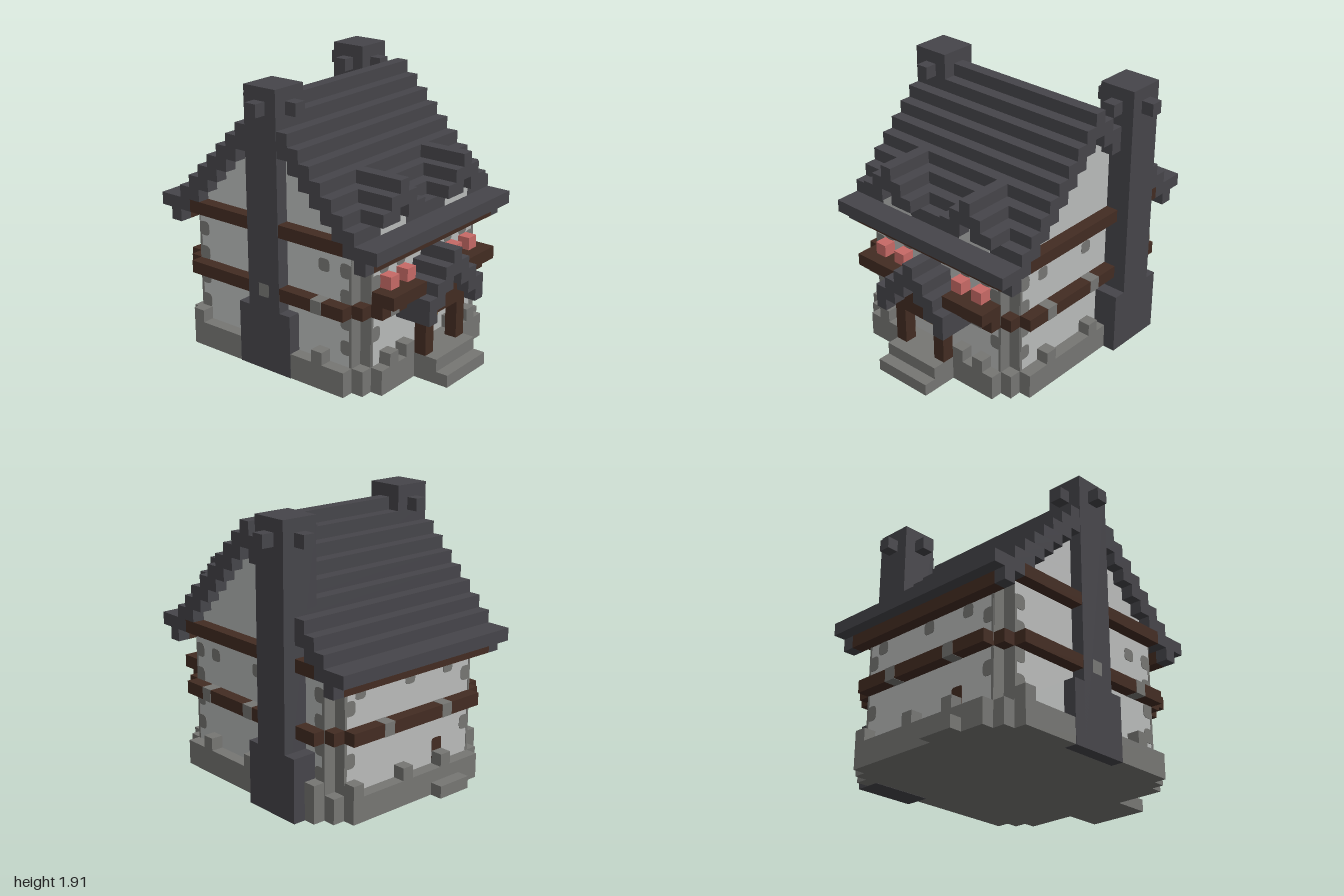
import * as THREE from 'three';

const U = 2 / 23; // one block
const mat = (name, color) => {
  const m = new THREE.MeshStandardMaterial({ color });
  m.name = name;
  return m;
};

export function createModel() {
  const slate = mat('slate', 0x46454a), plaster = mat('plaster', 0xb9bbba), stone = mat('stone', 0x767673);
  const timber = mat('timber', 0x432c22), petal = mat('petal', 0xc76a66), brass = mat('brass', 0xb38a45);

  const house = new THREE.Group();
  house.name = 'house';

  // Box from block coordinates: x -10..10, y 0..22, z 0 (back)..23 (front)
  const box = (name, m, x0, x1, y0, y1, z0, z1) => {
    const mesh = new THREE.Mesh(new THREE.BoxGeometry((x1 - x0) * U, (y1 - y0) * U, (z1 - z0) * U), m);
    mesh.position.set((x0 + x1) / 2 * U, (y0 + y1) / 2 * U, ((z0 + z1) / 2 - 11.5) * U);
    mesh.name = name;
    house.add(mesh);
  };
  // Same box mirrored across the house's middle, x = -0.5
  const pair = (name, m, x0, x1, ...rest) => {
    box(name, m, x0, x1, ...rest);
    box(name, m, -1 - x1, -1 - x0, ...rest);
  };

  // Thin rounded plate on one wall; u runs along the wall
  const plate = (name, m, side, u, y, w = 1, h = 1, r = 0.32) => {
    const s = new THREE.Shape(), a = w / 2, b = h / 2;
    s.moveTo(-a + r, -b);
    s.lineTo(a - r, -b); s.quadraticCurveTo(a, -b, a, -b + r);
    s.lineTo(a, b - r); s.quadraticCurveTo(a, b, a - r, b);
    s.lineTo(-a + r, b); s.quadraticCurveTo(-a, b, -a, b - r);
    s.lineTo(-a, -b + r); s.quadraticCurveTo(-a, -b, -a + r, -b);
    const g = new THREE.ExtrudeGeometry(s, { depth: 0.09, bevelEnabled: false, curveSegments: 4 });
    const mesh = new THREE.Mesh(g.translate(0, 0, -0.05).scale(U, U, U), m);
    const [x, z, turn] = {
      front: [u, 19, 0], back: [u, 2, Math.PI], right: [7, u, Math.PI / 2], left: [-8, u, -Math.PI / 2],
    }[side];
    mesh.position.set(x * U, y * U, (z - 11.5) * U);
    mesh.rotation.y = turn;
    mesh.name = name;
    house.add(mesh);
  };

  // Footprint with stepped corners, grown outward by g blocks
  const stepped = (name, m, g, y0, y1) => {
    box(name, m, -8 - g, 7 + g, y0, y1, 3, 18);
    box(name, m, -7, 6, y0, y1, 2 - g, 19 + g);
    if (g) box(name, m, -8, 7, y0, y1, 2, 19);
  };
  stepped('foundation', stone, 1, 0.02, 2);
  stepped('wall', plaster, 0, 2, 11);
  stepped('middleBeam', timber, 1, 6, 7);

  // Stone corner posts and quoins
  for (const [z0, z1, zc] of [[18, 19, 18], [2, 3, 3]]) {
    pair('cornerStone', stone, 5.96, 6.03, 2, 11, z0, z1);
    pair('cornerStone', stone, 6, 7, 2, 11, zc - 0.04, zc + 0.04);
  }
  for (const side of ['front', 'back', 'left', 'right']) {
    const along = side === 'front' || side === 'back';
    const ends = along ? [[-7, 1], [6, -1]] : [[3, 1], [18, -1]];
    const rows = along ? [4, 8] : [3, 5, 7, 9];
    for (const [edge, dir] of ends) {
      plate('quoinEdge', stone, side, edge + dir * 0.1, 6, 0.2, 8, 0.02);
      for (const r of rows) plate('quoin', stone, side, edge + dir * 0.5, r + 0.5, 1, 1.15, 0.4);
    }
  }

  // Gable infill and stepped roof courses
  for (let r = 11; r <= 20; r++) {
    const n = 18 - r;
    if (n >= 0) box('gable', plaster, -8, 7, r, r + 1, 10 - n, 11 + n);
    const reach = r === 11 ? 10 : 20 - r;
    if (n >= 0) {
      box('roofCourse', slate, -9, 8, r, r + 1, 11 + n, 11 + reach);
      box('roofCourse', slate, -9, 8, r, r + 1, 10 - reach, 10 - n);
    } else box('roofRidge', slate, -9, 8, r, r + 1, 10 - reach, 11 + reach);
  }
  // Beams beneath the eaves and gables
  for (const z of [1, 19]) {
    box('eaveBeam', timber, -8, 7, 10, 11, z, z + 1);
    pair('eaveEnd', slate, 7, 8, 10, 11, z, z + 1);
  }
  pair('gableBeam', timber, 7, 8, 11, 12, 3, 18);

  // Side wall details
  for (const z of [10, 15]) {
    for (const side of ['left', 'right']) plate('wallStone', stone, side, z + 0.5, 9.5);
    pair('beamStone', stone, 6.9, 8.03, 5.98, 7.02, z, z + 1);
  }
  for (const z of [3, 10, 15]) pair('crenel', stone, 7, 8, 2, 3, z, z + 1);

  // Front and back wall details
  for (const x of [2, 4]) {
    pair('crenel', stone, x, x + 1, 2, 3, 19, 20);
    pair('flower', petal, x, x + 1, 8, 9, 19, 20);
    plate('wallStone', stone, 'front', x + 0.5, 9.5);
    plate('wallStone', stone, 'front', -1.5 - x, 9.5);
  }
  pair('flowerBox', timber, 2, 6, 7, 8, 19, 21);
  pair('beamStone', stone, 4, 5, 5.98, 7.02, 19, 20.03);
  pair('beamStone', stone, 2, 3, 5.98, 7.02, 0.97, 2);
  for (const x of [-5, -1, 4]) {
    plate('wallStone', stone, 'back', x + 0.5, 9.5);
    box('crenel', stone, x + 1, x + 2, 2, 3, 1, 2);
  }
  plate('frontDoor', timber, 'front', -0.5, 3, 1, 2, 0.01);
  plate('backDoor', timber, 'back', -3.5, 3, 1, 2, 0.2);
  box('backStep', stone, -5, -2, 0.02, 1, 0, 1);

  // Porch
  box('porchFloor', stone, -3, 2, 0.02, 2, 20, 22);
  box('porchStep', stone, -3, 2, 0.02, 1, 22, 23);
  pair('porchPost', timber, 1, 2, 2, 5, 20, 21);
  box('porchLintel', timber, -3, 2, 5, 6, 20, 21);
  box('porchBeam', timber, -2, 1, 6, 7, 19, 21);
  box('porchGable', plaster, -1, 0, 7, 8, 19, 21);
  box('lantern', brass, -1, 0, 4, 5, 19, 20);
  pair('porchRoof', slate, 2, 3, 5, 6, 19, 22);
  pair('porchRoof', slate, 1, 3, 6, 7, 19, 22);
  pair('porchRoof', slate, 0, 2, 7, 8, 19, 22);
  box('porchRoof', slate, -2, 1, 8, 9, 19, 22);
  box('porchRidge', slate, -1, 0, 9, 10, 19, 22);

  // Dormers
  pair('dormerWall', plaster, 2, 5, 12, 13, 17, 19.04);
  pair('dormerWall', plaster, 3, 4, 13, 14, 17, 19.04);
  pair('dormerRoof', slate, 1, 3, 13, 14, 17, 20);
  pair('dormerRoof', slate, 4, 6, 13, 14, 17, 20);
  pair('dormerRoof', slate, 2, 5, 14, 15, 16, 20);
  pair('dormerRidge', slate, 3, 4, 15, 16, 15, 20);

  // Chimneys: flared foot, shaft and four knobs near the top
  const chimney = (x0, x1, z, footX0, footX1) => {
    box('chimneyFoot', slate, footX0, footX1, 0, 5, z - 1, z + 4);
    box('chimneyShaft', slate, x0, x1, 0.03, 22, z, z + 3);
    const cx = Math.round((x0 + x1 - 1) / 2);
    box('chimneyKnob', slate, cx, cx + 1, 20, 21, z - 1, z + 4);
    box('chimneyKnob', slate, cx - 2, cx + 3, 20, 21, z + 1, z + 2);
  };
  chimney(6, 9, 5, 7, 9);
  chimney(-9.03, -6, 9, -9.03, -8);

  return house;
}
